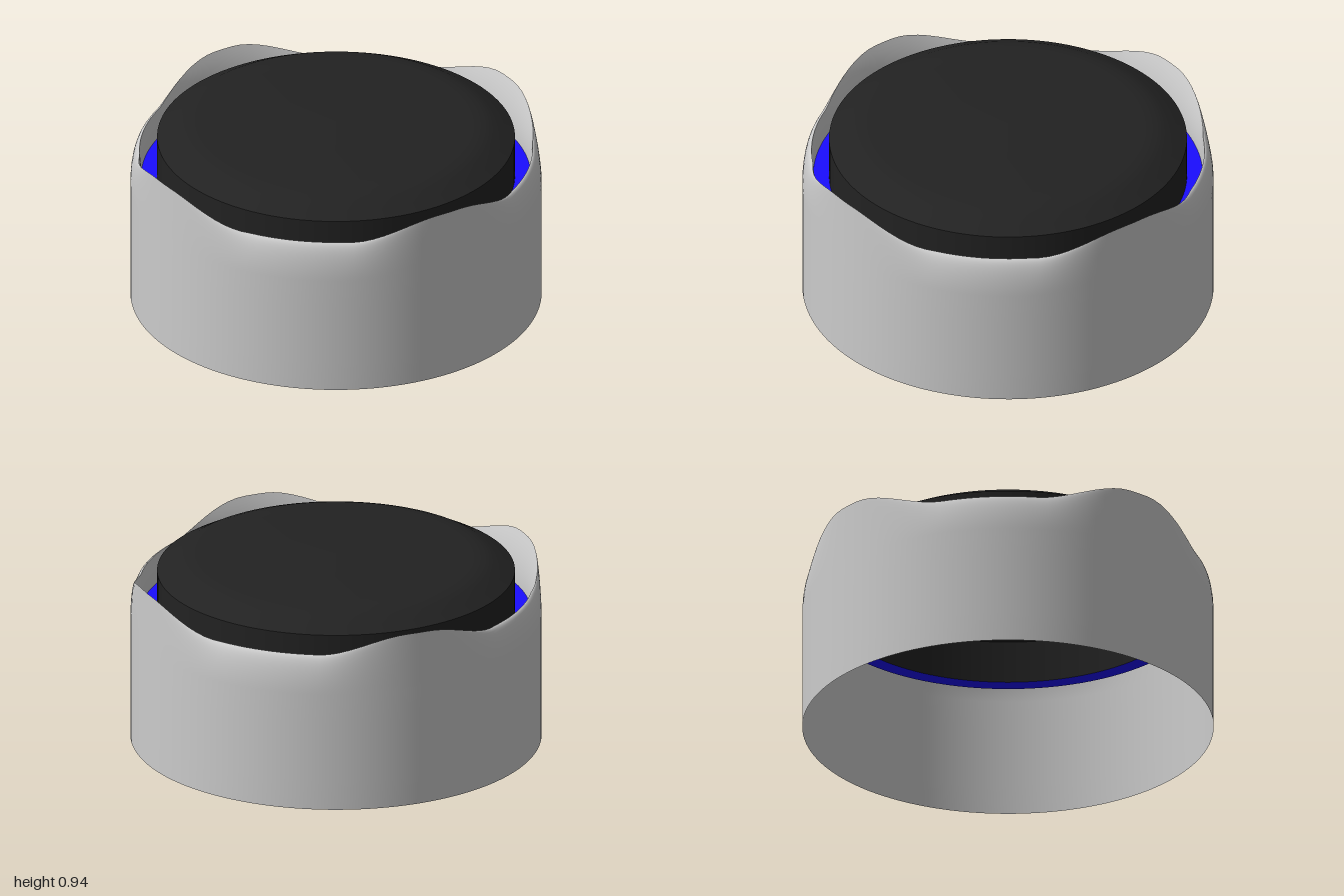
import * as THREE from 'three';
import { mergeVertices } from 'three/addons/utils/BufferGeometryUtils.js';

const SEG = 128;
const SEAT_Y = 0.645; // height of the coloured ring
const mat = (color) => new THREE.MeshStandardMaterial({ color, side: THREE.DoubleSide });

// Four raised lobes, on the x and z axes, with low valleys between them
function rim(theta) {
  const quarter = Math.PI / 2;
  const d = Math.abs(theta - Math.round(theta / quarter) * quarter);
  const s = THREE.MathUtils.smoothstep(30 - THREE.MathUtils.radToDeg(d), 0, 27);
  return { r: 0.955 + 0.045 * Math.sqrt(s), y: 0.79 + 0.103 * s };
}

// Open tube whose every ring is reshaped by profile(t, rim) -> [radius, y], t from 0 (bottom) to 1 (top)
function wavyTube(rows, profile) {
  const geo = new THREE.CylinderGeometry(1, 1, 1, SEG, rows, true);
  const p = geo.attributes.position;
  for (let i = 0; i < p.count; i++) {
    const theta = Math.atan2(p.getX(i), p.getZ(i));
    const [r, y] = profile(p.getY(i) + 0.5, rim(theta));
    p.setXYZ(i, r * Math.sin(theta), y, r * Math.cos(theta));
  }
  geo.deleteAttribute('uv');
  geo.deleteAttribute('normal');
  const smooth = mergeVertices(geo, 1e-5);
  smooth.computeVertexNormals();
  return smooth;
}

export function createModel() {
  const group = new THREE.Group();
  const grey = mat(0xcccccc);
  const add = (name, geo, material) => {
    const mesh = new THREE.Mesh(geo, material);
    mesh.name = name;
    group.add(mesh);
    return mesh;
  };

  // Straight skirt, then a shoulder that rolls inward in the valleys
  const shoulder = 0.6;
  add('outerWall', wavyTube(16, (t, e) => {
    if (t < 0.25) return [1, shoulder * t / 0.25];
    const a = (t - 0.25) / 0.75 * Math.PI / 2;
    return [e.r + (1 - e.r) * Math.cos(a), shoulder + (e.y - shoulder) * Math.sin(a)];
  }), grey);

  // Concave inner lip from the rim down to the ring
  add('innerLip', wavyTube(10, (t, e) =>
    [0.947 + (e.r - 0.947) * t * t, SEAT_Y + (e.y - SEAT_Y) * t]), grey);

  // Flat coloured ring around the cap
  const ring = add('lightRing', new THREE.RingGeometry(0.87, 0.948, SEG), mat(0x1a0dff));
  ring.rotation.x = -Math.PI / 2;
  ring.position.y = SEAT_Y;

  // Hollow cap: straight side and softly domed top
  const capMat = mat(0x222222);
  const v = (x, y) => new THREE.Vector2(x, y);
  add('capSide', new THREE.LatheGeometry([v(0.87, SEAT_Y), v(0.87, 0.86)], SEG), capMat);
  const dome = [[0.87, 0.86], [0.82, 0.887], [0.77, 0.914], [0.73, 0.928], [0.68, 0.938],
    [0.61, 0.941], [0.3, 0.943], [0, 0.945]].map(([x, y]) => v(x, y));
  add('capTop', new THREE.LatheGeometry(dome, SEG), capMat);

  return group;
}
